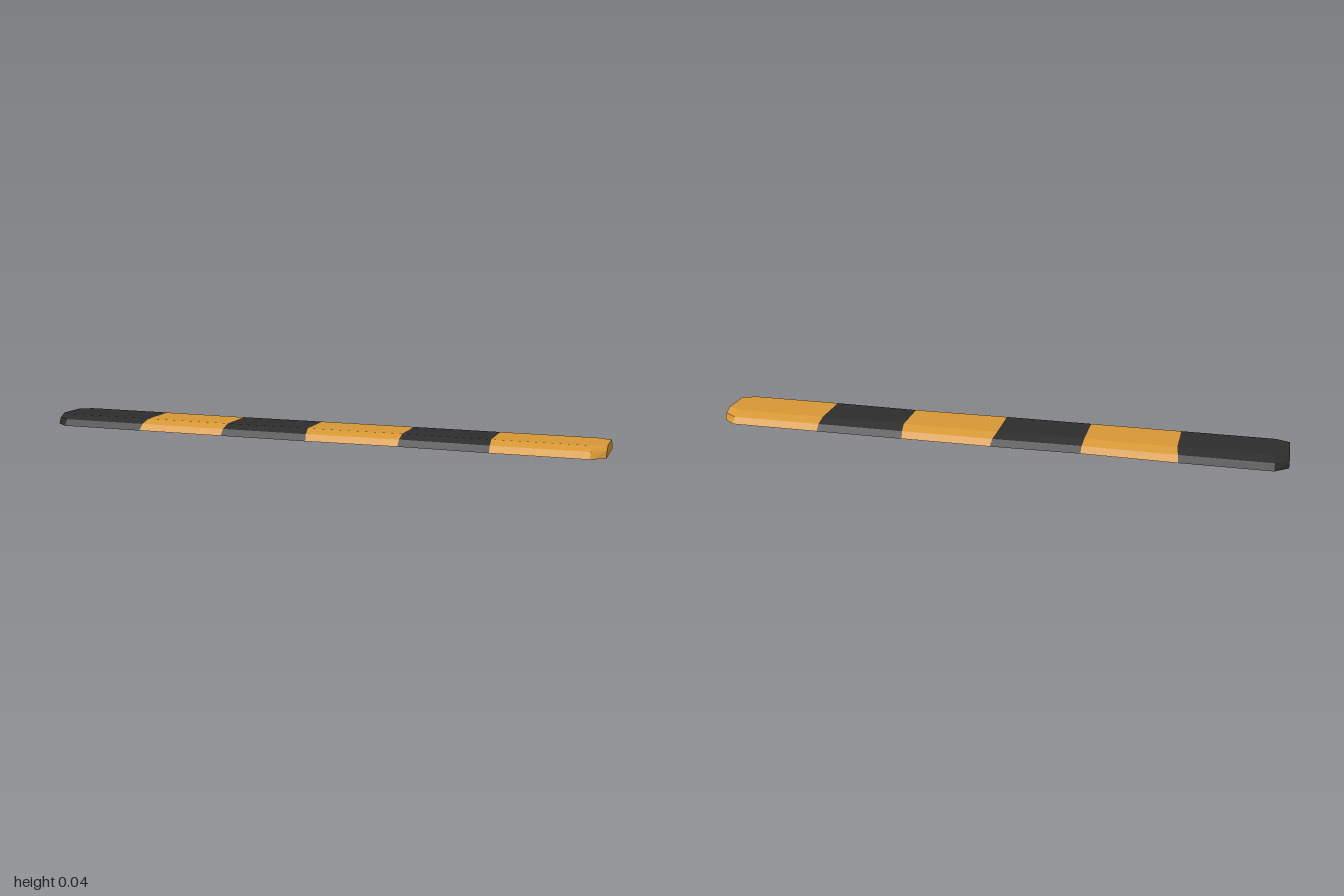
import * as THREE from 'three';

// Cross-section from front foot, over the crown, to back foot: [y, z]
const BODY = [[0, 0.13], [0.022, 0.113], [0.036, 0.076], [0.036, -0.076], [0.022, -0.113], [0, -0.13]];
const END = [[0, 0.092], [0.022, 0.081], [0.036, 0.055], [0.036, -0.055], [0.022, -0.081], [0, -0.092]];

// One ring of points; the joint may be skewed (front/mid/back x) and slightly pinched
function ring(profile, xs, front = 1, back = 1) {
  const [xf, xm, xb] = xs;
  const x = [xf, xf + (xm - xf) * 0.4, xm, xm, xb + (xm - xb) * 0.4, xb];
  return profile.map(([y, z], i) => new THREE.Vector3(x[i], y, z * (z > 0 ? front : back)));
}

// Skin neighbouring rings, with optional flat caps at the far ends
function loft(rings, capLeft, capRight) {
  const pos = [];
  const tri = (...pts) => pts.forEach((p) => pos.push(p.x, p.y, p.z));
  for (let r = 0; r < rings.length - 1; r++) {
    const a = rings[r], b = rings[r + 1];
    for (let i = 0; i < a.length; i++) {
      const j = (i + 1) % a.length;
      tri(a[i], b[i], b[j]);
      tri(a[i], b[j], a[j]);
    }
  }
  const first = rings[0], last = rings[rings.length - 1];
  for (let i = 1; i < first.length - 1; i++) {
    if (capLeft) tri(first[0], first[i], first[i + 1]);
    if (capRight) tri(last[0], last[i + 1], last[i]);
  }
  const g = new THREE.BufferGeometry();
  g.setAttribute('position', new THREE.Float32BufferAttribute(pos, 3));
  g.computeVertexNormals();
  return g;
}

export function createModel() {
  const group = new THREE.Group();
  group.name = 'speedBump';
  const black = new THREE.MeshStandardMaterial({ color: 0x2c2c2c });
  black.name = 'black rubber';
  const yellow = new THREE.MeshStandardMaterial({ color: 0xd69735 });
  yellow.name = 'amber';

  // Slightly uneven joints between the six stripes
  const joints = [
    ring(BODY, [-0.643, -0.633, -0.643]),
    ring(BODY, [-0.321, -0.318, -0.313], 1, 0.945),
    ring(BODY, [-0.004, -0.014, 0.0]),
    ring(BODY, [0.321, 0.324, 0.316], 0.93, 1),
    ring(BODY, [0.632, 0.628, 0.632]),
  ];
  // Chamfered ends
  const shoulder = (s) => ring(BODY, [s * 0.953, s * 0.953, s * 0.953]);
  const tip = (s) => ring(END, [s, s, s]);

  const stripes = [[tip(-1), shoulder(-1), joints[0]]];
  for (let i = 0; i < 4; i++) stripes.push([joints[i], joints[i + 1]]);
  stripes.push([joints[4], shoulder(1), tip(1)]);

  stripes.forEach((rings, i) => {
    const mesh = new THREE.Mesh(loft(rings, i === 0, i === 5), i % 2 ? yellow : black);
    mesh.name = (i % 2 ? 'amberStripe' : 'blackStripe') + (Math.floor(i / 2) + 1);
    group.add(mesh);
  });
  return group;
}
